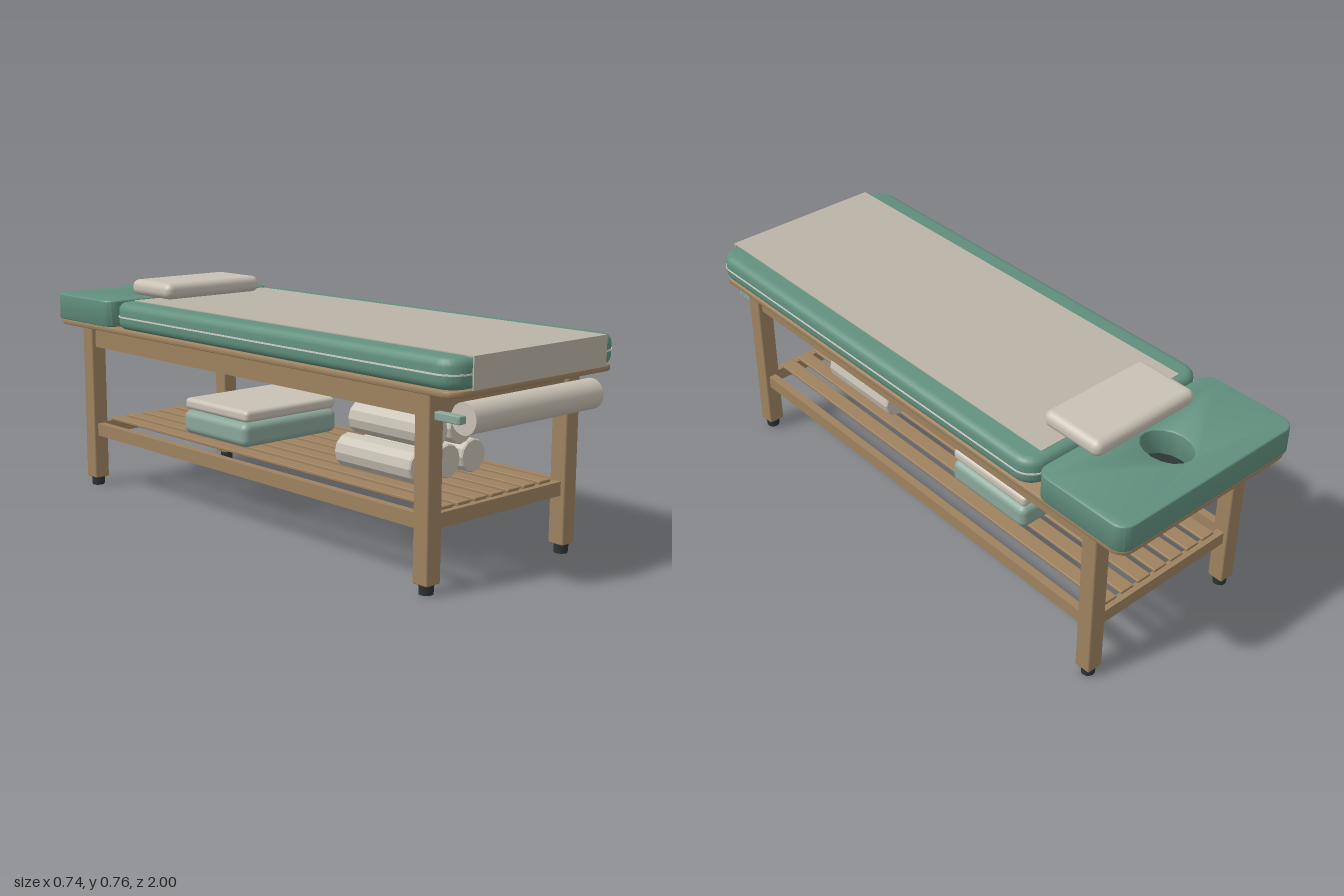
import * as THREE from 'three';
import { toCreasedNormals } from 'three/addons/utils/BufferGeometryUtils.js';
import { RoundedBoxGeometry } from 'three/addons/geometries/RoundedBoxGeometry.js';

function material(name, color, extra = {}) {
  const m = new THREE.MeshStandardMaterial({ color, ...extra });
  m.name = name;
  return m;
}

// Rounded rectangle in plan; shape y becomes -z after the slab is laid flat
function roundedRect(x0, x1, y0, y1, r) {
  const s = new THREE.Shape();
  s.moveTo(x0 + r, y0);
  s.lineTo(x1 - r, y0);
  s.absarc(x1 - r, y0 + r, r, -Math.PI / 2, 0, false);
  s.lineTo(x1, y1 - r);
  s.absarc(x1 - r, y1 - r, r, 0, Math.PI / 2, false);
  s.lineTo(x0 + r, y1);
  s.absarc(x0 + r, y1 - r, r, Math.PI / 2, Math.PI, false);
  s.lineTo(x0, y0 + r);
  s.absarc(x0 + r, y0 + r, r, Math.PI, Math.PI * 1.5, false);
  return s;
}

// Horizontal slab between two heights, with bevelled rims
function slab(halfX, zBack, zFront, y0, y1, radius, bevel, hole) {
  const shape = roundedRect(-halfX + bevel, halfX - bevel, -zFront + bevel, -zBack - bevel, radius);
  if (hole) shape.holes.push(hole);
  const geo = new THREE.ExtrudeGeometry(shape, {
    depth: y1 - y0 - 2 * bevel, bevelEnabled: bevel > 0, bevelSize: bevel,
    bevelThickness: bevel, bevelSegments: 4, curveSegments: 8,
  });
  geo.rotateX(-Math.PI / 2);
  geo.translate(0, y0 + bevel, 0);
  return toCreasedNormals(geo, 0.6);
}

export function createModel() {
  const model = new THREE.Group();
  model.name = 'massageTable';

  const green = material('green upholstery', 0x62907f);
  const sage = material('sage', 0x8aa699);
  const linen = material('linen', 0xc8c1b4);
  const sheetCloth = material('sheet cloth', 0xbab4a7);
  const wood = material('wood', 0x9e8260);
  const dark = material('dark rubber', 0x2b3534);
  const piping = material('piping', 0xd4d2c8);

  const add = (name, geo, mat, x = 0, y = 0, z = 0) => {
    const mesh = new THREE.Mesh(geo, mat);
    mesh.name = name;
    mesh.position.set(x, y, z);
    model.add(mesh);
    return mesh;
  };
  const box = (name, w, h, d, mat, x, y, z) => add(name, new THREE.BoxGeometry(w, h, d), mat, x, y, z);
  const softBox = (name, w, h, d, r, mat, x, y, z, seg = 4) =>
    add(name, new RoundedBoxGeometry(w, h, d, seg, r), mat, x, y, z);

  // Legs with rubber feet
  for (const sx of [-1, 1]) {
    for (const sz of [-1, 1]) {
      softBox('leg', 0.058, 0.563, 0.058, 0.005, wood, sx * 0.304, 0.3115, sz * 0.843, 1);
      add('foot', new THREE.CylinderGeometry(0.024, 0.022, 0.032, 12), dark, sx * 0.304, 0.016, sz * 0.843);
    }
  }

  // Aprons and lower stretchers
  for (const s of [-1, 1]) {
    box('sideApron', 0.028, 0.073, 1.63, wood, s * 0.304, 0.5565, 0);
    box('endApron', 0.55, 0.073, 0.028, wood, 0, 0.5565, s * 0.843);
    box('sideStretcher', 0.028, 0.045, 1.63, wood, s * 0.304, 0.2125, 0);
    box('endStretcher', 0.55, 0.045, 0.028, wood, 0, 0.2125, s * 0.843);
  }

  // Shelf slats
  for (let i = -3; i <= 3; i++) {
    softBox('shelfSlat', 0.053, 0.011, 1.68, 0.003, wood, i * 0.0733, 0.2405, 0, 1);
  }

  // Deck, mattress and its piping
  add('deck', slab(0.361, -0.995, 0.985, 0.593, 0.612, 0.045, 0.004), wood);
  add('mattress', slab(0.367, -0.63, 0.99, 0.612, 0.705, 0.04, 0.026), green);
  add('mattressPiping', slab(0.3695, -0.6325, 0.9925, 0.6545, 0.6595, 0.068, 0), piping);

  // Headrest with an oval face opening
  const opening = new THREE.Path();
  opening.absellipse(0, 0.82, 0.075, 0.095, 0, Math.PI * 2, true);
  add('headrest', slab(0.367, -1, -0.648, 0.612, 0.705, 0.04, 0.006, opening), green);
  const openingFloor = add('openingFloor', new THREE.CylinderGeometry(1, 1, 0.004, 32), dark, 0, 0.613, -0.82);
  openingFloor.scale.set(0.074, 1, 0.094);

  // Sheet over the mattress, with a flap hanging over the front
  box('sheetTop', 0.586, 0.005, 1.593, sheetCloth, 0, 0.7055, 0.1985);
  box('sheetFlap', 0.586, 0.096, 0.005, sheetCloth, 0, 0.66, 0.9945);

  // Pillow
  softBox('pillow', 0.42, 0.057, 0.232, 0.026, linen, 0, 0.7365, -0.625);

  // Paper roll on its two arms
  const roll = add('paperRoll', new THREE.CylinderGeometry(0.047, 0.047, 0.564, 32), linen, 0, 0.526, 0.953);
  roll.rotation.z = Math.PI / 2;
  const spindle = add('rollSpindle', new THREE.CylinderGeometry(0.009, 0.009, 0.63, 12), sage, 0, 0.526, 0.953);
  spindle.rotation.z = Math.PI / 2;
  for (const s of [-1, 1]) {
    softBox('rollArm', 0.028, 0.025, 0.1, 0.004, sage, s * 0.299, 0.526, 0.916, 1);
  }

  // Rolled towels stacked three and two, with bevelled ends
  const profile = [[0, -0.167], [0.02, -0.167], [0.051, -0.167], [0.055, -0.162],
    [0.055, 0.162], [0.051, 0.167], [0.02, 0.167], [0, 0.167]].map(([r, y]) => new THREE.Vector2(r, y));
  const towelGeo = toCreasedNormals(new THREE.LatheGeometry(profile, 12), 0.3);
  const spots = [[-0.115, 0.304], [0, 0.304], [0.115, 0.304], [-0.0575, 0.403], [0.0575, 0.403]];
  for (const [x, y] of spots) {
    add('rolledTowel', towelGeo, linen, x, y, 0.472).rotation.x = Math.PI / 2;
  }

  // Folded blanket and towel at the back of the shelf
  softBox('foldedBlanket', 0.42, 0.083, 0.35, 0.025, sage, 0, 0.2885, -0.265);
  softBox('foldedTowel', 0.406, 0.04, 0.345, 0.015, linen, 0, 0.353, -0.263);

  return model;
}
